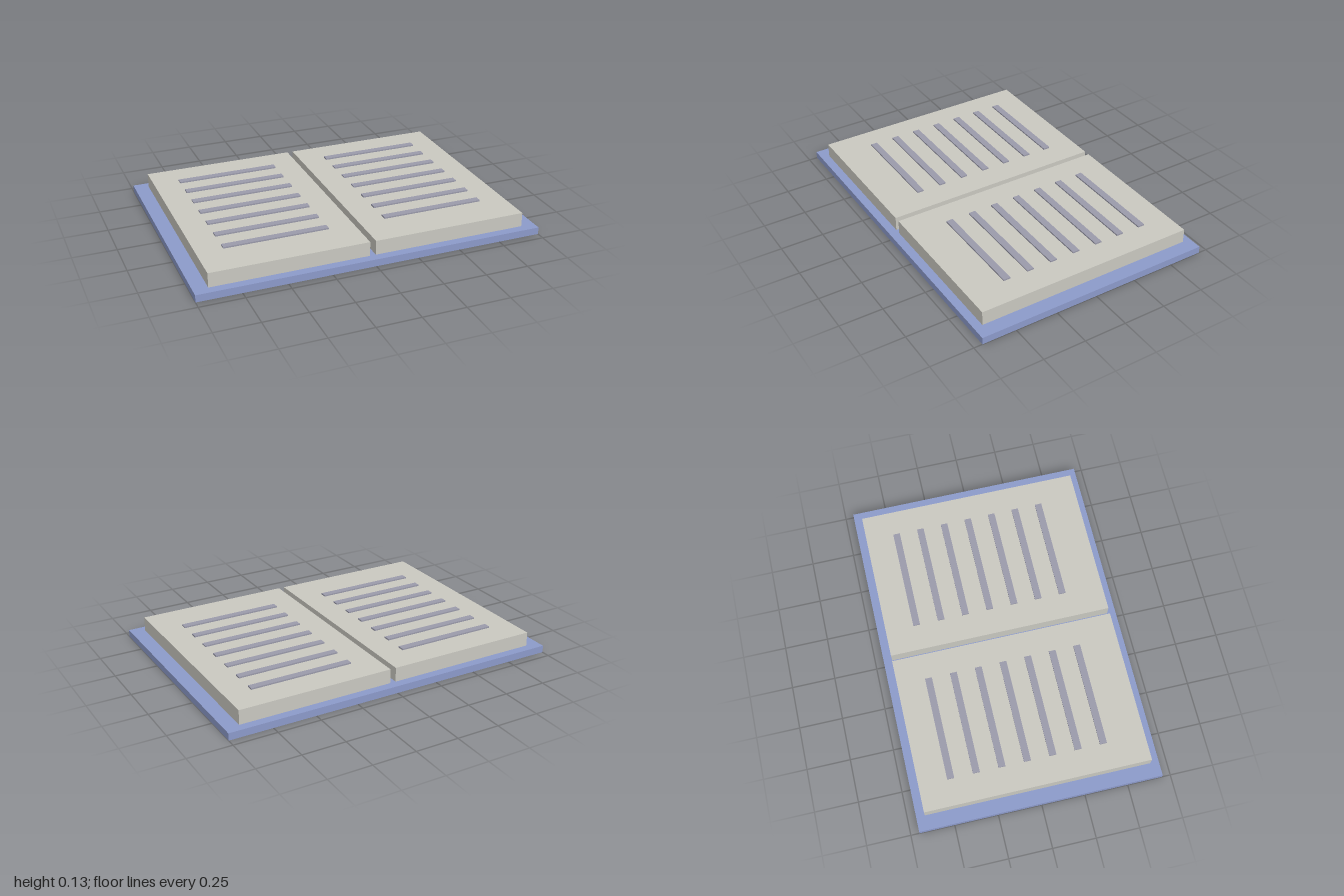
import * as THREE from 'three';

export function createModel() {
  const group = new THREE.Group();
  group.name = 'openBook';

  const material = (name, color) => {
    const m = new THREE.MeshStandardMaterial({ color });
    m.name = name;
    return m;
  };
  const coverBlue = material('coverBlue', 0x8c9aca);
  const paperGrey = material('paperGrey', 0xc9c8c0);
  const inkGrey = material('inkGrey', 0x9a9aaa);

  // Box standing on the height y
  const addBox = (name, mat, w, h, d, x, y, z) => {
    const mesh = new THREE.Mesh(new THREE.BoxGeometry(w, h, d), mat);
    mesh.name = name;
    mesh.position.set(x, y + h / 2, z);
    group.add(mesh);
  };

  // Flat cover under both page blocks
  addBox('cover', coverBlue, 2, 0.0417, 1.4, 0, 0, 0);

  for (const [side, s] of [['left', 1], ['right', -1]]) {
    // Page block, leaving a narrow gutter in the middle
    addBox(`${side} pages`, paperGrey, 0.9, 0.0833, 1.3, s * 0.467, 0.0417, 0);
    // Raised strips of writing
    for (let i = 0; i < 7; i++) {
      addBox(`${side} strip ${i + 1}`, inkGrey, 0.6, 0.0083, 0.04, s * 0.467, 0.125, -0.467 + i * 0.146);
    }
  }
  return group;
}
